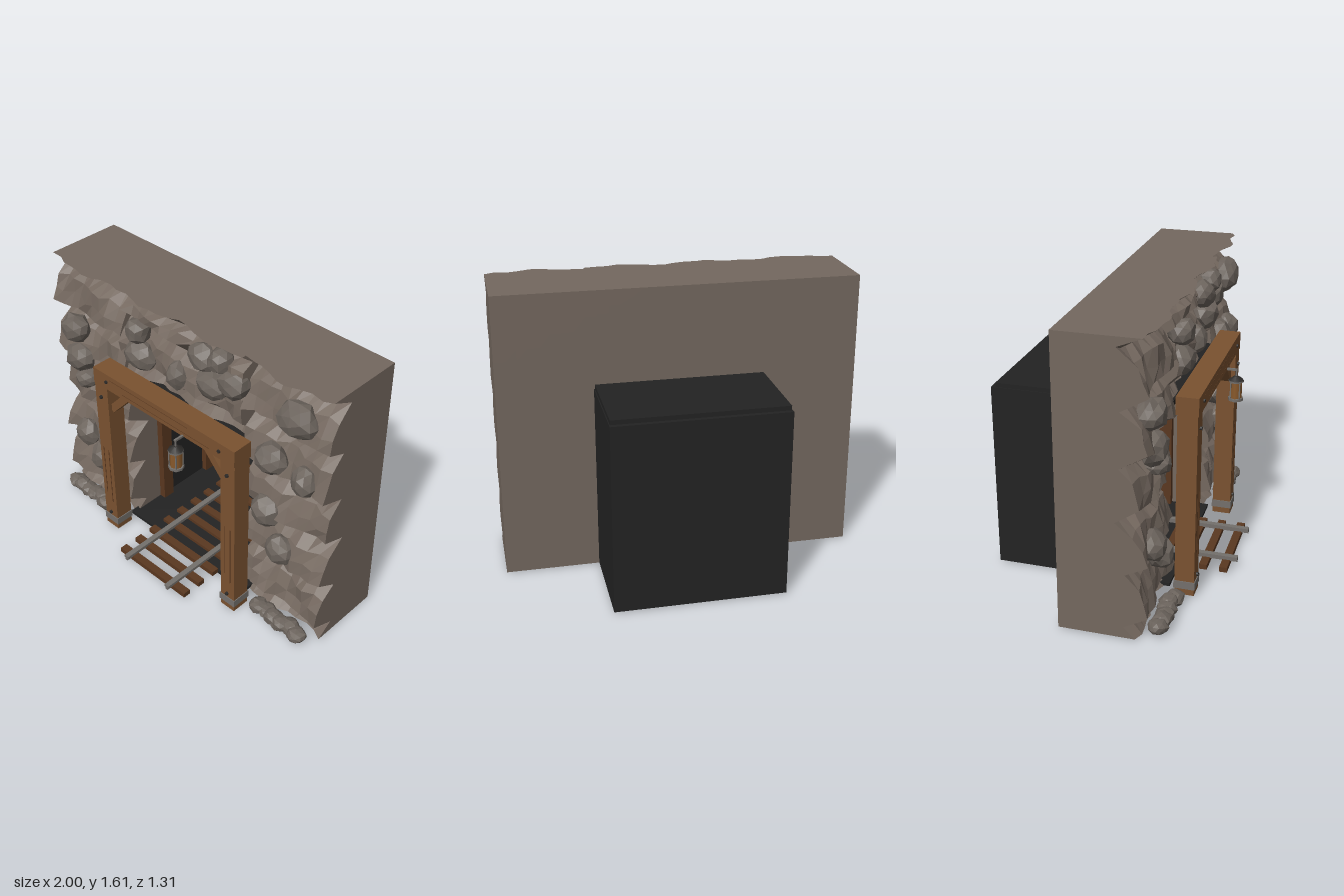
import * as THREE from 'three';

const mat = (name, color, flatShading = false) => {
  const m = new THREE.MeshStandardMaterial({ color, flatShading });
  m.name = name;
  return m;
};

// Repeatable noise in -1..1
const hash = (a, b, c = 0) => {
  const s = Math.sin(a * 127.1 + b * 311.7 + c * 74.7) * 43758.5453;
  return (s - Math.floor(s)) * 2 - 1;
};

export function createModel() {
  const model = new THREE.Group();
  model.name = 'mineEntrance';
  const stone = mat('stone', 0x74685f, true);
  const boulderStone = mat('boulderStone', 0x6c645d, true);
  const wood = mat('wood', 0x7a5230);
  const darkWood = mat('darkWood', 0x5a3820);
  const black = mat('tunnelBlack', 0x232323);
  const metal = mat('metal', 0x74706c);
  const iron = mat('darkIron', 0x2e2c2a);
  const glass = mat('lanternGlass', 0x8a5a2c);

  const add = (name, geo, material, x = 0, y = 0, z = 0, parent = model) => {
    const m = new THREE.Mesh(geo, material);
    m.name = name;
    m.position.set(x, y, z);
    parent.add(m);
    return m;
  };
  // Box given by its limits
  const block = (name, material, x0, x1, y0, y1, z0, z1, parent = model) =>
    add(name, new THREE.BoxGeometry(x1 - x0, y1 - y0, z1 - z0), material,
      (x0 + x1) / 2, (y0 + y1) / 2, (z0 + z1) / 2, parent);

  // Rock face: a box whose front is pulled into overhanging ledges
  const back = -0.115;
  function cliff(name, x0, x1, rows, nx) {
    const ny = rows.length - 1;
    const geo = new THREE.BoxGeometry(1, 1, 1, nx, ny, 1);
    const p = geo.attributes.position;
    for (let i = 0; i < p.count; i++) {
      const c = Math.round((p.getX(i) + 0.5) * nx);
      const r = Math.round((p.getY(i) + 0.5) * ny);
      let x = x0 + (x1 - x0) * c / nx;
      let [y, z] = rows[r];
      if (p.getZ(i) > 0) {
        const inner = r > 0 && r < ny;
        z += 0.018 * Math.sin(x * 13 + r * 0.5) + 0.014 * hash(c, r, x0);
        if (inner) y += 0.014 * hash(c, r, x0 + 5);
        if (c > 0 && c < nx) x += 0.012 * hash(c, r, x0 + 9);
      } else z = back;
      p.setXYZ(i, x, y, z);
    }
    geo.computeVertexNormals();
    add(name, geo, stone);
  }
  const sideRows = [[0, 0.3], [0.07, 0.22]];
  for (let k = 0; k < 5; k++) {
    const y = 0.07 + k * 0.295;
    sideRows.push([y + 0.065, 0.345], [y + 0.14, 0.33], [y + 0.22, 0.3], [y + 0.295, 0.215]);
  }
  sideRows.push([1.61, 0.36]);
  const topRows = [[1.085, 0.31], [1.15, 0.27], [1.215, 0.35], [1.28, 0.345], [1.35, 0.325],
    [1.415, 0.26], [1.48, 0.35], [1.525, 0.335], [1.56, 0.28], [1.61, 0.36]];
  cliff('leftCliff', 0.45, 1, sideRows, 9);
  cliff('rightCliff', -1, -0.45, sideRows, 9);
  cliff('cliffOverEntrance', -0.45, 0.45, topRows, 14);

  // Boulders set into the cliff and rubble along its foot
  function boulder(name, x, y, z, rx, ry, rz, seed) {
    const geo = new THREE.IcosahedronGeometry(1, 1);
    const p = geo.attributes.position;
    const v = new THREE.Vector3();
    for (let i = 0; i < p.count; i++) {
      v.fromBufferAttribute(p, i);
      const n = hash(Math.round(v.x * 50), Math.round(v.y * 50), Math.round(v.z * 50) + seed);
      v.multiplyScalar(0.96 + 0.11 * n);
      p.setXYZ(i, v.x * rx, v.y * ry, v.z * rz);
    }
    geo.computeVertexNormals();
    add(name, geo, boulderStone, x, y, z);
  }
  [[-0.85, 1.19, 0.1, 0.09], [-0.83, 1.0, 0.1, 0.095], [-0.77, 0.89, 0.075, 0.065],
    [-0.82, 0.455, 0.09, 0.09], [-0.69, 0.34, 0.09, 0.09], [-0.31, 1.42, 0.078, 0.075],
    [-0.3, 1.26, 0.11, 0.09], [-0.01, 1.275, 0.068, 0.085], [0.17, 1.475, 0.095, 0.08],
    [0.3, 1.515, 0.072, 0.075], [0.38, 1.42, 0.1, 0.095], [0.24, 1.345, 0.11, 0.085],
    [0.8, 1.41, 0.125, 0.105], [0.64, 1.09, 0.1, 0.09], [0.86, 1.06, 0.078, 0.09],
    [0.62, 0.73, 0.1, 0.09], [0.72, 0.51, 0.088, 0.09],
  ].forEach(([x, y, rx, ry], i) => boulder('boulder', x, y, 0.34, rx, ry, 0.078, i * 7 + 1));
  for (const s of [-1, 1]) {
    for (let i = 0; i < 6; i++) {
      boulder('rubble', s * (0.63 + i * 0.056), 0.044 + 0.006 * hash(i, s), 0.395 + 0.015 * hash(i, s, 3),
        0.065, 0.042, 0.055, i * 11 + s);
    }
  }

  // Dark tunnel shell
  const end = -0.655;
  block('tunnelFloor', black, -0.475, 0.475, 0.002, 0.02, end, 0.34);
  block('tunnelBack', black, -0.475, 0.475, 0.002, 1.065, end, -0.63);
  block('tunnelCeiling', black, -0.47, 0.47, 1.06, 1.09, -0.63, 0.34);
  for (const s of [-1, 1]) {
    const [a, b] = [s * 0.445, s * 0.475].sort((m, n) => m - n);
    block('tunnelWall', black, a, b, 0.002, 1.065, end, 0.08);
  }

  // Timber portal
  const portal = new THREE.Group();
  portal.name = 'timberPortal';
  model.add(portal);
  block('lintelBeam', wood, -0.53, 0.53, 1.05, 1.15, 0.37, 0.492, portal);
  for (const [y, x0, x1] of [[1.075, -0.3, 0.35], [1.12, -0.4, 0.2]]) {
    block('beamGrain', darkWood, x0, x1, y, y + 0.002, 0.49, 0.4935, portal);
  }
  for (const s of [-1, 1]) {
    const post = new THREE.Group();
    post.name = s > 0 ? 'leftPost' : 'rightPost';
    portal.add(post);
    add('post', new THREE.BoxGeometry(0.1, 1.05, 0.108), wood, s * 0.48, 0.525, 0.434, post);
    add('footBand', new THREE.BoxGeometry(0.11, 0.045, 0.118), metal, s * 0.48, 0.06, 0.434, post);
    for (const [dx, y, h] of [[0.02, 0.4, 0.4], [-0.022, 0.43, 0.35]]) {
      add('woodGrain', new THREE.BoxGeometry(0.004, h, 0.004), darkWood, s * 0.48 + dx, y, 0.488, post);
    }
    for (const [x, y] of [[0.48, 0.97], [0.425, 1.1], [0.48, 0.11]]) {
      const bolt = add('bolt', new THREE.CylinderGeometry(0.01, 0.01, 0.014, 8), iron, s * x, y, 0.493, post);
      bolt.rotation.x = Math.PI / 2;
    }
    const brace = add('brace', new THREE.BoxGeometry(0.045, 0.22, 0.06), wood, s * 0.36, 0.975, 0.434, post);
    brace.rotation.z = s * 0.74;
  }

  // Support sets inside the tunnel
  for (const z of [0.08, -0.285]) {
    for (const s of [-1, 1]) {
      add('innerPost', new THREE.BoxGeometry(0.04, 0.98, 0.075), darkWood, s * 0.43, 0.49, z);
    }
    block('innerBeam', darkWood, -0.45, 0.45, 0.96, 1.0, z - 0.037, z + 0.037);
  }

  // Track
  for (let i = 0; i < 11; i++) {
    add('sleeper', new THREE.BoxGeometry(0.53, 0.03, 0.045), darkWood, 0, 0.025, 0.592 - i * 0.115);
  }
  for (const x of [-0.17, 0.165]) {
    block('railHead', metal, x - 0.016, x + 0.016, 0.05, 0.066, -0.62, 0.655);
    block('railWeb', metal, x - 0.008, x + 0.008, 0.036, 0.052, -0.62, 0.655);
  }

  // Hanging lantern on its bracket
  const lantern = new THREE.Group();
  lantern.name = 'lantern';
  lantern.position.set(0.165, 0, 0.545);
  model.add(lantern);
  const turned = (name, r0, r1, y0, y1, m) =>
    add(name, new THREE.CylinderGeometry(r1, r0, y1 - y0, 8), m, 0, (y0 + y1) / 2, 0, lantern);
  turned('lanternBase', 0.043, 0.043, 0.875, 0.89, metal);
  turned('lanternGlass', 0.034, 0.034, 0.89, 0.985, glass);
  turned('lanternRim', 0.043, 0.043, 0.985, 0.995, metal);
  turned('lanternCap', 0.043, 0.012, 0.995, 1.018, iron);
  turned('lanternHanger', 0.005, 0.005, 1.015, 1.055, metal);
  for (let i = 0; i < 4; i++) {
    const a = (i + 0.5) * Math.PI / 2;
    add('lanternBar', new THREE.BoxGeometry(0.007, 0.1, 0.007), metal,
      Math.cos(a) * 0.036, 0.938, Math.sin(a) * 0.036, lantern);
  }
  block('lanternArm', metal, -0.006, 0.006, 1.048, 1.06, -0.06, 0.006, lantern);
  return model;
}
